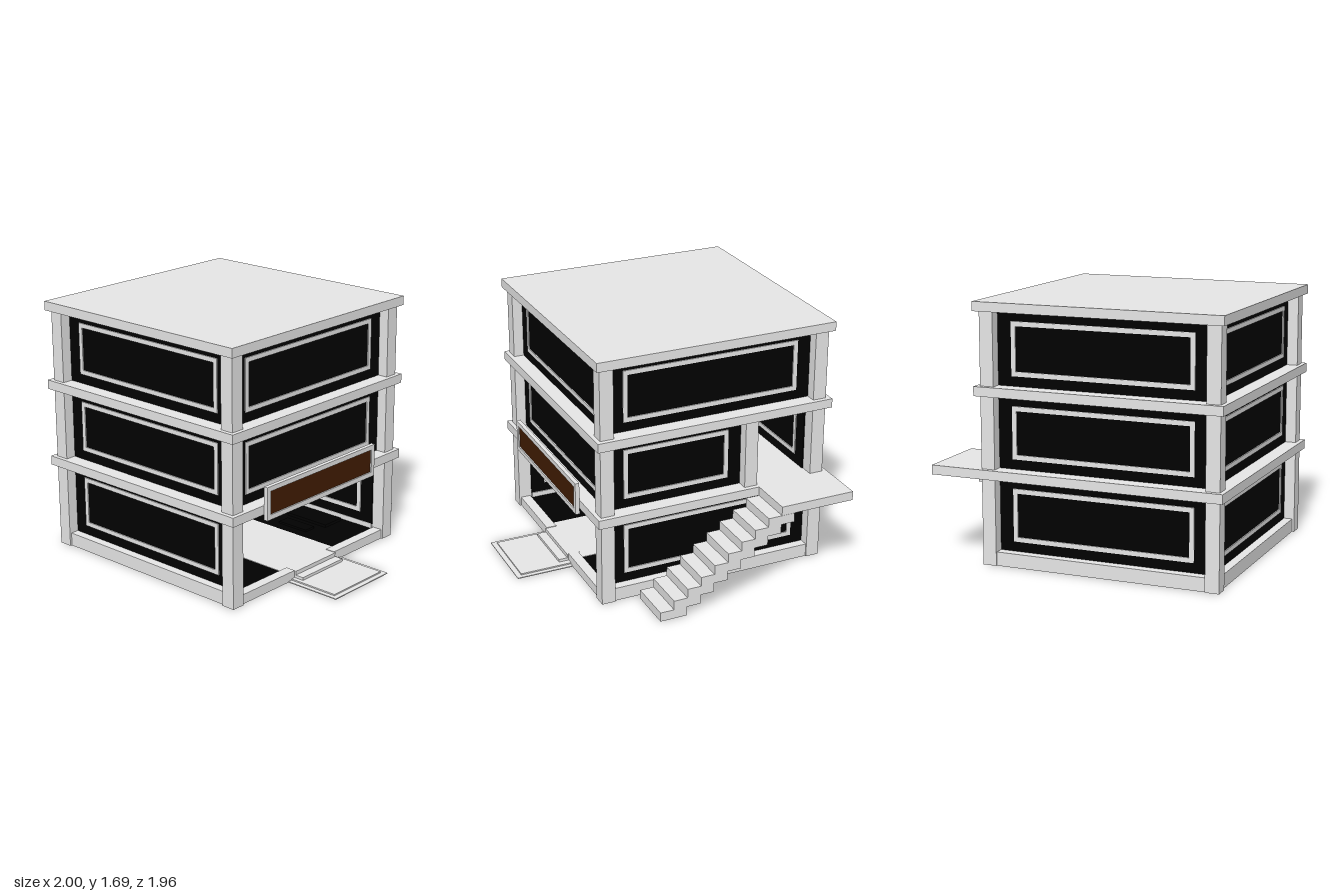
import * as THREE from 'three';

const concrete = new THREE.MeshStandardMaterial({ color: 0xe7e7e7 });
concrete.name = 'pale concrete';
const black = new THREE.MeshStandardMaterial({ color: 0x010101 });
black.name = 'black cladding';
const brown = new THREE.MeshStandardMaterial({ color: 0x421c02 });
brown.name = 'brown sign panel';

// Box given by its minimum and maximum on each axis
function box(parent, name, material, [x0, x1], [y0, y1], [z0, z1]) {
  const mesh = new THREE.Mesh(new THREE.BoxGeometry(x1 - x0, y1 - y0, z1 - z0), material);
  mesh.position.set((x0 + x1) / 2, (y0 + y1) / 2, (z0 + z1) / 2);
  mesh.name = name;
  parent.add(mesh);
}

// Rectangular frame in the xy plane, centred on the origin
function frame(name, w, h, band, depth) {
  const rect = (shape, a, b) => shape.moveTo(-a, -b).lineTo(a, -b).lineTo(a, b).lineTo(-a, b).closePath();
  const shape = rect(new THREE.Shape(), w / 2, h / 2);
  shape.holes.push(rect(new THREE.Path(), w / 2 - band, h / 2 - band));
  const geometry = new THREE.ExtrudeGeometry(shape, { depth, bevelEnabled: false });
  geometry.translate(0, 0, -depth / 2);
  const mesh = new THREE.Mesh(geometry, concrete);
  mesh.name = name;
  return mesh;
}

// Black wall with a framed window showing on both faces
function windowWall(name, width, y0, y1) {
  const wall = new THREE.Group();
  wall.name = name;
  box(wall, 'wallPanel', black, [-width / 2, width / 2], [y0, y1], [-0.015, 0.015]);
  const f = frame('windowFrame', width - 0.19, y1 - y0 - 0.14, 0.03, 0.044);
  f.position.y = (y0 + y1) / 2;
  wall.add(f);
  return wall;
}

export function createModel() {
  const model = new THREE.Group();
  model.name = 'building';
  const cx = -0.173, cz = 0.157, wallOffset = 0.71, wallW = 1.41;

  // Corner pillars
  for (const x of [-0.968, 0.53])
    for (const z of [-0.64, 0.862])
      box(model, 'cornerPillar', concrete, [x, x + 0.092], [0, 1.66], [z, z + 0.092]);

  // Floor slabs and roof
  for (const y of [0.565, 1.095, 1.628])
    box(model, y > 1.5 ? 'roofSlab' : 'floorSlab', concrete, [-1, 0.65], [y, y + 0.061], [-0.672, 0.982]);

  // Base kerbs, lower on the entrance side
  box(model, 'frontKerb', concrete, [-0.88, 0.53], [0, 0.09], [0.845, 0.94]);
  box(model, 'backKerb', concrete, [-0.88, 0.53], [0, 0.09], [-0.63, -0.535]);
  box(model, 'sideKerb', concrete, [-0.96, -0.86], [0, 0.09], [-0.55, 0.865]);
  for (const [z0, z1] of [[-0.55, -0.04], [0.36, 0.865]])
    box(model, 'entranceKerb', concrete, [0.54, 0.61], [0, 0.064], [z0, z1]);

  // Ground floor: dark side bays and a pale central walkway
  box(model, 'backFloorBay', black, [-0.93, 0.58], [-0.0005, 0.055], [-0.6, -0.11]);
  box(model, 'frontFloorBay', black, [-0.93, 0.58], [-0.0005, 0.055], [0.42, 0.91]);
  box(model, 'walkway', concrete, [-0.93, 0.6], [0, 0.058], [-0.11, 0.42]);

  // Raised floor mats
  for (const s of [-1, 1]) {
    for (const x of [-0.55, -0.05]) {
      const a = cz + s * 0.58, b = cz + s * 0.39;
      box(model, 'wideMat', black, [x, x + 0.34], [0.05, 0.074], [a - 0.085, a + 0.085]);
      box(model, 'narrowMat', black, [x + 0.05, x + 0.29], [0.05, 0.069], [b - 0.045, b + 0.045]);
    }
  }
  box(model, 'centreMat', black, [-0.7, -0.57], [0.055, 0.07], [0.09, 0.22]);
  box(model, 'upperMat', black, [-0.32, -0.2], [0.62, 0.632], [-0.25, -0.13]);

  // Entrance step and path
  box(model, 'entranceThreshold', concrete, [0.53, 0.62], [0, 0.06], [-0.04, 0.36]);
  box(model, 'entranceStep', concrete, [0.6, 0.68], [0, 0.034], [-0.04, 0.36]);
  box(model, 'pathTop', concrete, [0.6, 0.965], [0, 0.015], [-0.08, 0.39]);
  box(model, 'pathBase', concrete, [0.6, 1], [0, 0.006], [-0.11, 0.42]);

  // Walls on each storey; ground entrance side and one back bay stay open
  const storeys = [[0.085, 0.57], [0.62, 1.1], [1.15, 1.635]];
  storeys.forEach(([y0, y1], i) => {
    const front = windowWall('frontWall', wallW, y0, y1);
    front.position.set(cx, 0, cz + wallOffset);
    const side = windowWall('sideWall', wallW, y0, y1);
    side.rotation.y = Math.PI / 2;
    side.position.set(cx - wallOffset, 0, cz);
    model.add(front, side);
    if (i > 0) {
      const entrance = windowWall('entranceSideWall', wallW, y0, y1);
      entrance.rotation.y = Math.PI / 2;
      entrance.position.set(cx + wallOffset, 0, cz);
      model.add(entrance);
    }
    const w = i === 1 ? 0.925 : wallW;
    const back = windowWall('backWall', w, y0, y1);
    back.position.set(0.532 - w / 2, 0, cz - wallOffset);
    model.add(back);
  });
  box(model, 'doorwayPillar', concrete, [-0.48, -0.39], [0.62, 1.1], [-0.64, -0.55]);

  // Outside stair with landing; each step laps under the next
  box(model, 'stairLanding', concrete, [-1, -0.48], [0.565, 0.626], [-0.982, -0.672]);
  for (let i = 0; i < 9; i++) {
    const x = 0.37 - i * 0.0944, y = i * 0.0627;
    box(model, 'stairStep', concrete, [x - 0.186, x], [y, y + 0.0627], [-0.982, -0.672]);
  }

  // Sign over the entrance
  const rim = frame('signFrame', 1.065, 0.22, 0.032, 0.028);
  rim.rotation.y = Math.PI / 2;
  rim.position.set(0.666, 0.64, 0.172);
  model.add(rim);
  box(model, 'signBack', concrete, [0.652, 0.664], [0.55, 0.73], [-0.34, 0.685]);
  box(model, 'signPanel', brown, [0.664, 0.671], [0.555, 0.725], [-0.335, 0.68]);

  // Square ceiling lights in the open ground floor
  for (const x of [-0.505, 0.158])
    for (const z of [-0.16, 0.474]) {
      const light = frame('ceilingLightFrame', 0.13, 0.13, 0.03, 0.02);
      light.rotation.x = Math.PI / 2;
      light.position.set(x, 0.556, z);
      model.add(light);
      box(model, 'ceilingLightPanel', black, [x - 0.04, x + 0.04], [0.558, 0.566], [z - 0.04, z + 0.04]);
    }

  return model;
}
